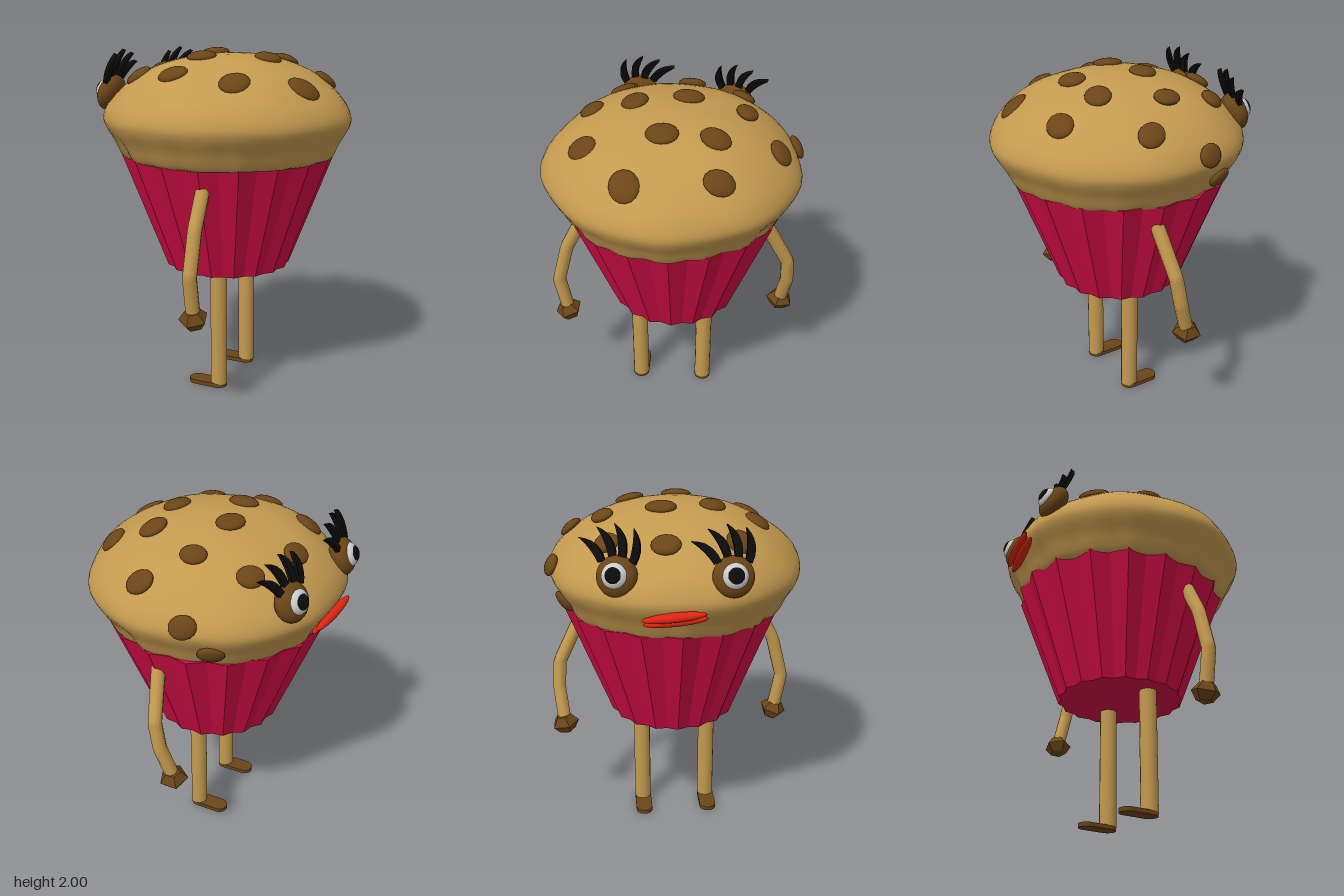
import * as THREE from 'three';
import { mergeVertices } from 'three/addons/utils/BufferGeometryUtils.js';

const mat = (color, extra = {}) => new THREE.MeshStandardMaterial({ color, ...extra });
const V = (x, y, z) => new THREE.Vector3(x, y, z);

export function createModel() {
  const model = new THREE.Group();
  const dough = mat(0xc49a4f);
  const brown = mat(0x6b4518);
  const brownFlat = mat(0x6b4518, { flatShading: true });
  const red = mat(0xdd2410);
  const black = mat(0x0c0c0c);
  const white = mat(0xe4e4e4);
  const wrapper = mat(0xd00d43, { flatShading: true });

  const add = (parent, name, geometry, material, x = 0, y = 0, z = 0) => {
    const mesh = new THREE.Mesh(geometry, material);
    mesh.name = name;
    mesh.position.set(x, y, z);
    parent.add(mesh);
    return mesh;
  };

  // Pleated paper cup
  const pleats = 18;
  const cup = new THREE.CylinderGeometry(0.63, 0.37, 0.68, pleats * 2, 1);
  const cp = cup.attributes.position;
  for (let i = 0; i < cp.count; i++) {
    const step = Math.round((Math.atan2(cp.getX(i), cp.getZ(i)) / Math.PI) * pleats);
    const k = step % 2 ? 1 : 0.945;
    cp.setX(i, cp.getX(i) * k);
    cp.setZ(i, cp.getZ(i) * k);
  }
  add(model, 'paperCup', cup, wrapper, 0, 1.07, 0);

  // Muffin top: lumpy lathe with ripples where it meets the cup
  const profile = [
    [0.56, 1.39], [0.612, 1.4], [0.66, 1.49], [0.71, 1.57], [0.72, 1.63], [0.68, 1.71],
    [0.59, 1.8], [0.48, 1.875], [0.35, 1.93], [0.2, 1.965], [0, 1.975],
  ];
  const curve = new THREE.SplineCurve(profile.map(([r, y]) => new THREE.Vector2(r, y)));
  const points = curve.getPoints(30);
  points[30].x = 0;
  let top = new THREE.LatheGeometry(points, 54);
  const tp = top.attributes.position;
  for (let i = 0; i < tp.count; i++) {
    const x = tp.getX(i), y = tp.getY(i), z = tp.getZ(i);
    const a = Math.atan2(x, z);
    const low = THREE.MathUtils.clamp((1.58 - y) / 0.15, 0, 1);
    const k = 1 + 0.008 * Math.sin(5 * a + 1) + 0.007 * Math.sin(9 * a + 4 * y) - 0.018 * low * Math.cos(pleats * a);
    const lump = y > 1.7 ? 0.007 * Math.sin(9 * x + 1) * Math.cos(8 * z) : 0;
    tp.setXYZ(i, x * k + 0.008, y + lump, z * k + 0.015);
  }
  top.deleteAttribute('uv');
  top.deleteAttribute('normal');
  top = mergeVertices(top, 1e-4);
  top.computeVertexNormals();
  add(model, 'muffinTop', top, dough);

  // Chocolate chips, laid on the dome along its slope: [x, z, radius, turn]
  const placeChip = (x, y, z, normal, radius, turn) => {
    const chip = add(model, 'chocolateChip', new THREE.SphereGeometry(1, 16, 10), brown, x, y, z);
    chip.scale.set(radius, 0.03, radius * 0.85);
    chip.quaternion.setFromUnitVectors(V(0, 1, 0), normal.normalize());
    chip.rotateY(turn);
  };
  const chips = [
    [0.165, -0.57, 0.08, 0.5], [-0.05, -0.39, 0.075, 0], [-0.36, -0.375, 0.075, 0.7],
    [0.27, -0.225, 0.085, 1.2], [0.51, -0.25, 0.085, 1.5], [-0.485, -0.075, 0.08, 1.5],
    [-0.11, -0.07, 0.088, 1.3], [0.27, 0.05, 0.088, 1.5], [-0.06, 0.22, 0.088, -0.2],
    [0.545, 0.22, 0.095, 0.4], [-0.41, 0.32, 0.09, -0.6], [-0.11, 0.465, 0.085, 0.2],
    [0.255, 0.47, 0.09, 1.1],
  ];
  for (const [x, z, radius, turn] of chips) {
    const r = Math.hypot(x, z);
    const i = points.findIndex((p) => p.y > 1.64 && p.x < r);
    const a = points[i - 1], b = points[i];
    const y = THREE.MathUtils.mapLinear(r, a.x, b.x, a.y, b.y);
    const slope = (b.y - a.y) / (a.x - b.x);
    placeChip(x, y + 0.004, z, V((x / r) * slope, 1, (z / r) * slope), radius, turn);
  }
  placeChip(-0.13, 1.67, -0.68, V(-0.2, 0.45, -1), 0.075, 0.5);
  placeChip(-0.25, 1.5, -0.61, V(-0.38, -0.6, -0.9), 0.075, 0.2);

  // Eyes: flattened brown ball, white, pupil and swept lashes
  const lash = new THREE.Shape();
  lash.moveTo(0.018, 0);
  lash.quadraticCurveTo(0.022, 0.11, -0.075, 0.155);
  lash.quadraticCurveTo(-0.03, 0.08, -0.02, 0);
  lash.closePath();
  const lashGeometry = new THREE.ExtrudeGeometry(lash, { depth: 0.024, bevelEnabled: false, curveSegments: 6 });
  lashGeometry.translate(0, 0, -0.012);
  const addEye = (name, position, facing) => {
    const eye = new THREE.Group();
    eye.name = name;
    const ball = (part, material, r, depth, z) =>
      add(eye, part, new THREE.SphereGeometry(1, 24, 16), material, 0, 0, z).scale.set(r, r, depth);
    ball('eyeSocket', brown, 0.108, 0.068, 0);
    ball('eyeWhite', white, 0.068, 0.045, 0.042);
    ball('pupil', black, 0.043, 0.022, 0.072);
    for (let i = 0; i < 4; i++) {
      const t = 0.75 - i * 0.5;
      const mesh = add(eye, 'eyelash', lashGeometry, black, t * 0.105, 0.1 - t * t * 0.055, 0.01 + 0.008 * (i % 2));
      mesh.rotation.z = -t * 0.55;
    }
    eye.position.copy(position);
    eye.lookAt(position.clone().add(facing));
    model.add(eye);
  };
  addEye('eyeLeft', V(-0.64, 1.745, 0.25), V(-0.92, 0.36, 0.03));
  addEye('eyeRight', V(-0.565, 1.74, -0.33), V(-0.9, 0.36, -0.3));

  // Lips
  const mouth = new THREE.Group();
  mouth.name = 'mouth';
  for (const s of [-1, 1]) {
    const lip = add(mouth, s > 0 ? 'upperLip' : 'lowerLip', new THREE.SphereGeometry(1, 20, 10), red, -s * 0.008, s * 0.02, 0);
    lip.scale.set(0.028, 0.024, 0.17);
  }
  mouth.position.set(-0.692, 1.545, -0.05);
  mouth.rotation.set(-0.15, -0.18, 0.3);
  model.add(mouth);

  // Arms with faceted hands
  const handProfile = [[0, -0.07], [0.05, -0.05], [0.085, 0.0], [0.045, 0.05], [0, 0.055]];
  const handGeometry = new THREE.LatheGeometry(handProfile.map(([r, y]) => new THREE.Vector2(r, y)), 5);
  const addArm = (side, path, tilt) => {
    const line = new THREE.CurvePath();
    for (let i = 1; i < path.length; i++) line.add(new THREE.LineCurve3(path[i - 1], path[i]));
    add(model, side + 'Arm', new THREE.TubeGeometry(line, 24, 0.04, 10), dough);
    add(model, side + 'Shoulder', new THREE.SphereGeometry(0.04, 10, 8), dough).position.copy(path[0]);
    const hand = add(model, side + 'Hand', handGeometry, brownFlat);
    hand.position.copy(path[path.length - 1]);
    hand.rotation.x = tilt;
  };
  addArm('left', [V(0.1, 1.28, 0.535), V(0.1, 1.08, 0.635), V(0.1, 0.83, 0.7), V(0.1, 0.59, 0.66)], 0.3);
  addArm('right', [V(0.1, 1.28, -0.535), V(0.06, 1.0, -0.675), V(0.03, 0.84, -0.685), V(-0.035, 0.63, -0.66)], -0.2);

  // Legs and flat rounded feet
  const sole = new THREE.Shape();
  sole.absarc(0.04, 0, 0.05, -Math.PI / 2, Math.PI / 2, false);
  sole.absarc(-0.1, 0, 0.05, Math.PI / 2, Math.PI * 1.5, false);
  const foot = new THREE.ExtrudeGeometry(sole, { depth: 0.025, bevelEnabled: false, curveSegments: 8 });
  foot.rotateX(-Math.PI / 2);
  for (const [side, z] of [['left', 0.22], ['right', -0.187]]) {
    add(model, side + 'Leg', new THREE.CylinderGeometry(0.05, 0.05, 0.74, 14), dough, 0.042, 0.39, z);
    add(model, side + 'Foot', foot, brown, 0, 0, z);
  }
  return model;
}
